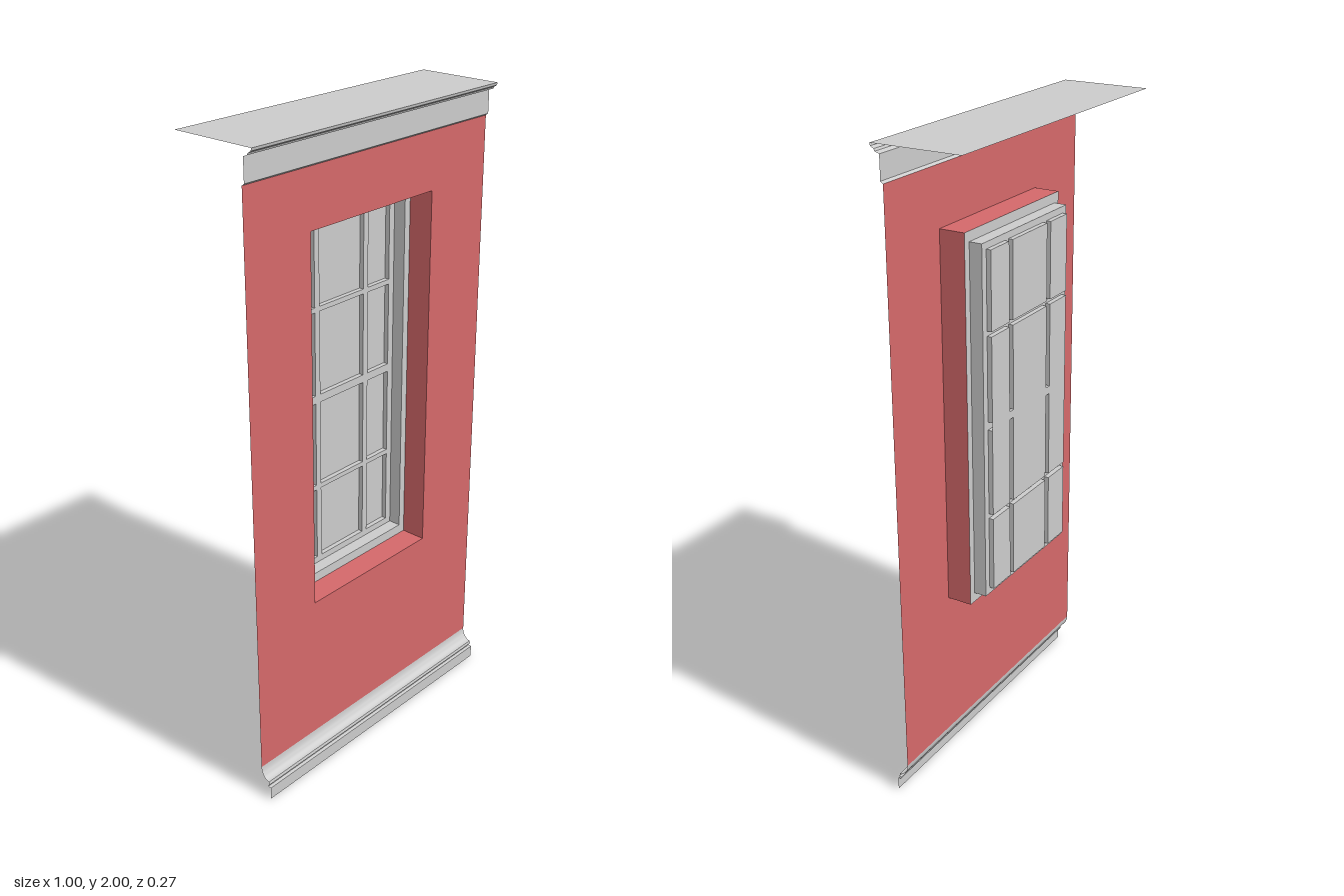
import * as THREE from 'three';
import { toCreasedNormals } from 'three/addons/utils/BufferGeometryUtils.js';

const grey = new THREE.MeshStandardMaterial({ color: 0xcccccc, side: THREE.DoubleSide });
const red = new THREE.MeshStandardMaterial({ color: 0xd4686a, side: THREE.DoubleSide });

// rectangle outline at depth z
const rect = (x0, x1, y0, y1, z) => [[x0, y0, z], [x1, y0, z], [x1, y1, z], [x0, y1, z]];

// flat-sided surface joining successive rectangles; optionally closes the last one
function loft(rects, cap = false) {
  const pos = [];
  const quad = (a, b, c, d) => pos.push(...a, ...b, ...c, ...a, ...c, ...d);
  for (let r = 0; r < rects.length - 1; r++) {
    for (let i = 0; i < 4; i++) {
      const j = (i + 1) % 4;
      quad(rects[r][i], rects[r][j], rects[r + 1][j], rects[r + 1][i]);
    }
  }
  if (cap) quad(...rects[rects.length - 1]);
  const g = new THREE.BufferGeometry();
  g.setAttribute('position', new THREE.Float32BufferAttribute(pos, 3));
  g.computeVertexNormals();
  return g;
}

// moulding: a [z, y] profile, listed from top to bottom, swept across the width
function moulding(profile) {
  const n = profile.length - 1;
  const g = new THREE.PlaneGeometry(1, 1, 1, n);
  const p = g.attributes.position;
  for (let i = 0; i < p.count; i++) {
    const [z, y] = profile[Math.floor(i / 2)];
    p.setXYZ(i, p.getX(i), y, z);
  }
  return toCreasedNormals(g, 0.5);
}

function add(parent, name, geometry, material = grey) {
  const mesh = new THREE.Mesh(geometry, material);
  mesh.name = name;
  parent.add(mesh);
  return mesh;
}

export function createModel() {
  const model = new THREE.Group();
  model.name = 'windowWall';

  // wall sheet with its window reveal
  const opening = z => rect(-0.255, 0.255, 0.57, 1.725, z);
  add(model, 'wall', loft([rect(-0.5, 0.5, 0.1, 1.9, 0.1), opening(0.1)]), red);
  add(model, 'windowReveal', loft([opening(0.1), opening(0.02)]), red);

  // cornice with flared lip, and the ledge running back from it
  add(model, 'cornice', moulding([
    [0.137, 2], [0.135, 1.992], [0.125, 1.986], [0.122, 1.98],
    [0.108, 1.975], [0.108, 1.906], [0.1, 1.9],
  ]));
  add(model, 'topLedge', moulding([[-0.138, 2], [0.137, 2]]));

  // skirting: concave cove, small groove, plinth
  const cove = [];
  for (let i = 0; i <= 8; i++) {
    const a = (i / 8) * Math.PI / 2;
    cove.push([0.13 - 0.03 * Math.cos(a), 0.1 - 0.04 * Math.sin(a)]);
  }
  add(model, 'skirting', moulding([
    ...cove, [0.132, 0.05], [0.127, 0.046], [0.127, 0.042], [0.137, 0.04], [0.137, 0],
  ]));

  // stepped window frame
  const window = new THREE.Group();
  window.name = 'window';
  model.add(window);
  const inner = z => rect(-0.232, 0.232, 0.6, 1.695, z);
  add(window, 'frame', loft([opening(0.02), inner(0.02), inner(-0.02), rect(-0.21, 0.21, 0.62, 1.675, -0.02)]));

  // glazing bars with twelve recessed panes
  const columns = [[-0.21, -0.115], [-0.095, 0.095], [0.115, 0.21]];
  const rows = [[0.62, 0.855], [0.87, 1.14], [1.165, 1.425], [1.44, 1.675]];
  for (const [i, [x0, x1]] of columns.entries()) {
    for (const [y0, y1] of rows) {
      add(window, 'pane', loft([rect(x0, x1, y0, y1, -0.02), rect(x0, x1, y0, y1, -0.035)], true));
    }
    if (i < 2) {
      const next = columns[i + 1][0];
      add(window, 'verticalBar', loft([rect(x1, next, 0.62, 1.675, -0.02)], true));
    }
    for (let r = 0; r < 3; r++) {
      add(window, 'horizontalBar', loft([rect(x0, x1, rows[r][1], rows[r + 1][0], -0.02)], true));
    }
  }
  // back of the meeting rail
  add(window, 'meetingRailBack', loft([rect(-0.21, 0.21, 1.14, 1.165, -0.035)], true));

  return model;
}
